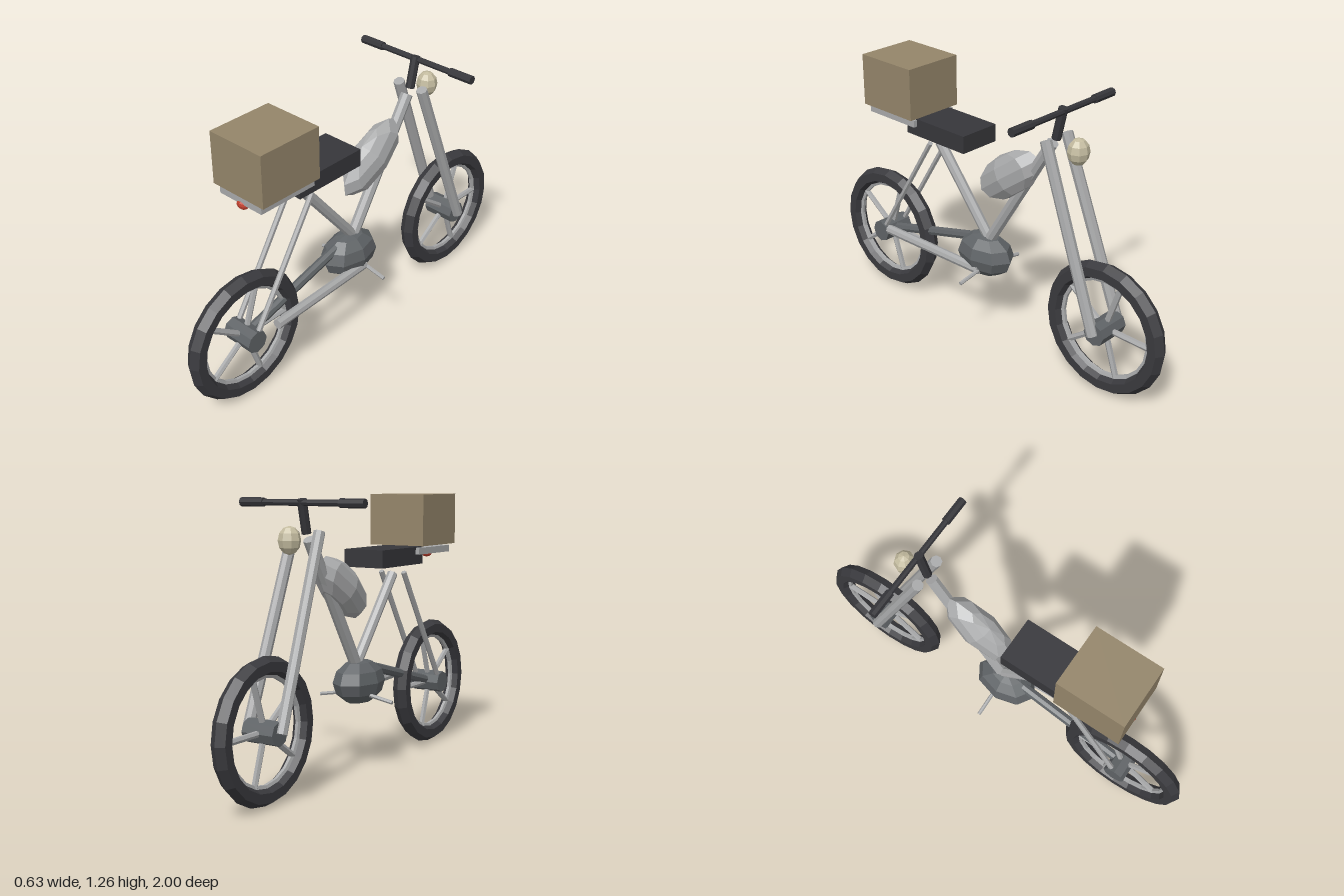
import * as THREE from 'three';

const mat = (name, color) => {
  const m = new THREE.MeshStandardMaterial({ color, flatShading: true });
  m.name = name;
  return m;
};

export function createModel() {
  const root = new THREE.Group();
  root.name = 'motorbike';
  const silver = mat('silver', 0xa8a9aa);
  const rubber = mat('rubber black', 0x3a3a3e);
  const black = mat('seat black', 0x36363a);
  const iron = mat('iron grey', 0x5f6366);
  const card = mat('cardboard', 0x94856a);
  const red = mat('tail red', 0xc0402e);
  const cream = mat('lamp cream', 0xc4bca0);

  const add = (parent, name, geo, material, x = 0, y = 0, z = 0) => {
    const mesh = new THREE.Mesh(geo, material);
    mesh.name = name;
    mesh.position.set(x, y, z);
    parent.add(mesh);
    return mesh;
  };
  // Straight tube between two points
  const rod = (parent, name, a, b, r, material, sides = 8) => {
    const p = new THREE.Vector3(...a), q = new THREE.Vector3(...b);
    const d = q.clone().sub(p);
    const mesh = add(parent, name, new THREE.CylinderGeometry(r, r, d.length(), sides), material);
    mesh.position.copy(p).add(q).multiplyScalar(0.5);
    mesh.quaternion.setFromUnitVectors(new THREE.Vector3(0, 1, 0), d.normalize());
    return mesh;
  };
  const blob = (name, material, size, at) =>
    add(root, name, new THREE.SphereGeometry(1, 8, 6).scale(...size), material, ...at);

  // Wheels: tyre, rim, hub and five spokes
  const axleY = 0.322, axleZ = 0.685;
  for (const [name, z] of [['frontWheel', -axleZ], ['rearWheel', axleZ]]) {
    const wheel = new THREE.Group();
    wheel.name = name;
    add(wheel, 'tyre', new THREE.TorusGeometry(0.272, 0.042, 6, 20), rubber);
    add(wheel, 'rim', new THREE.TorusGeometry(0.233, 0.012, 5, 20), silver);
    add(wheel, 'hub', new THREE.CylinderGeometry(0.053, 0.053, 0.157, 8).rotateX(Math.PI / 2), iron);
    for (let i = 0; i < 5; i++) {
      const a = (i * Math.PI * 2) / 5;
      rod(wheel, 'spoke', [0, 0, 0], [0.235 * Math.cos(a), 0.235 * Math.sin(a), 0], 0.014, silver, 6);
    }
    wheel.rotation.y = Math.PI / 2;
    wheel.position.set(0, axleY, z);
    root.add(wheel);
  }

  // Frame
  rod(root, 'downTube', [0, 0.5, 0], [0, 1.09, -0.362], 0.028, silver);
  rod(root, 'seatTube', [0, 0.5, 0], [0, 0.895, 0.32], 0.025, silver);
  rod(root, 'swingArm', [0, 0.51, 0], [0, axleY, axleZ], 0.023, iron);

  // Paired parts on both sides
  for (const s of [-1, 1]) {
    rod(root, 'forkLeg', [s * 0.067, 1.125, -0.383], [s * 0.085, axleY, -axleZ], 0.026, silver);
    rod(root, 'rearStay', [s * 0.062, 0.905, 0.32], [s * 0.062, axleY, axleZ], 0.013, silver, 6);
    rod(root, 'footPeg', [0, 0.38, 0], [s * 0.195, 0.345, 0], 0.009, silver, 6);
    rod(root, 'grip', [s * 0.195, 1.245, -0.418], [s * 0.316, 1.245, -0.418], 0.02, black);
  }

  // Steering and lamps
  rod(root, 'stem', [0, 1.115, -0.382], [0, 1.26, -0.415], 0.021, black);
  rod(root, 'handlebar', [-0.2, 1.245, -0.418], [0.2, 1.245, -0.418], 0.014, black);
  blob('headlight', cream, [0.05, 0.06, 0.048], [0, 1.092, -0.503]);
  blob('tailLight', red, [0.031, 0.022, 0.022], [0, 0.979, 0.65]);

  // Engine, exhaust and fuel tank
  blob('engine', iron, [0.103, 0.105, 0.156], [0, 0.42, 0.027]);
  rod(root, 'exhaust', [0.072, 0.367, 0], [0.104, 0.378, 0.59], 0.023, silver);
  const tank = blob('fuelTank', silver, [0.08, 0.098, 0.212], [0, 0.864, -0.12]);
  tank.rotation.x = 0.64;

  // Seat, rack and cargo
  add(root, 'seat', new THREE.BoxGeometry(0.206, 0.082, 0.366), black, 0, 0.982, 0.246);
  add(root, 'rack', new THREE.BoxGeometry(0.244, 0.032, 0.3), silver, 0, 1.003, 0.512);
  add(root, 'cargoBox', new THREE.BoxGeometry(0.292, 0.242, 0.318), card, 0, 1.149, 0.514);

  return root;
}
